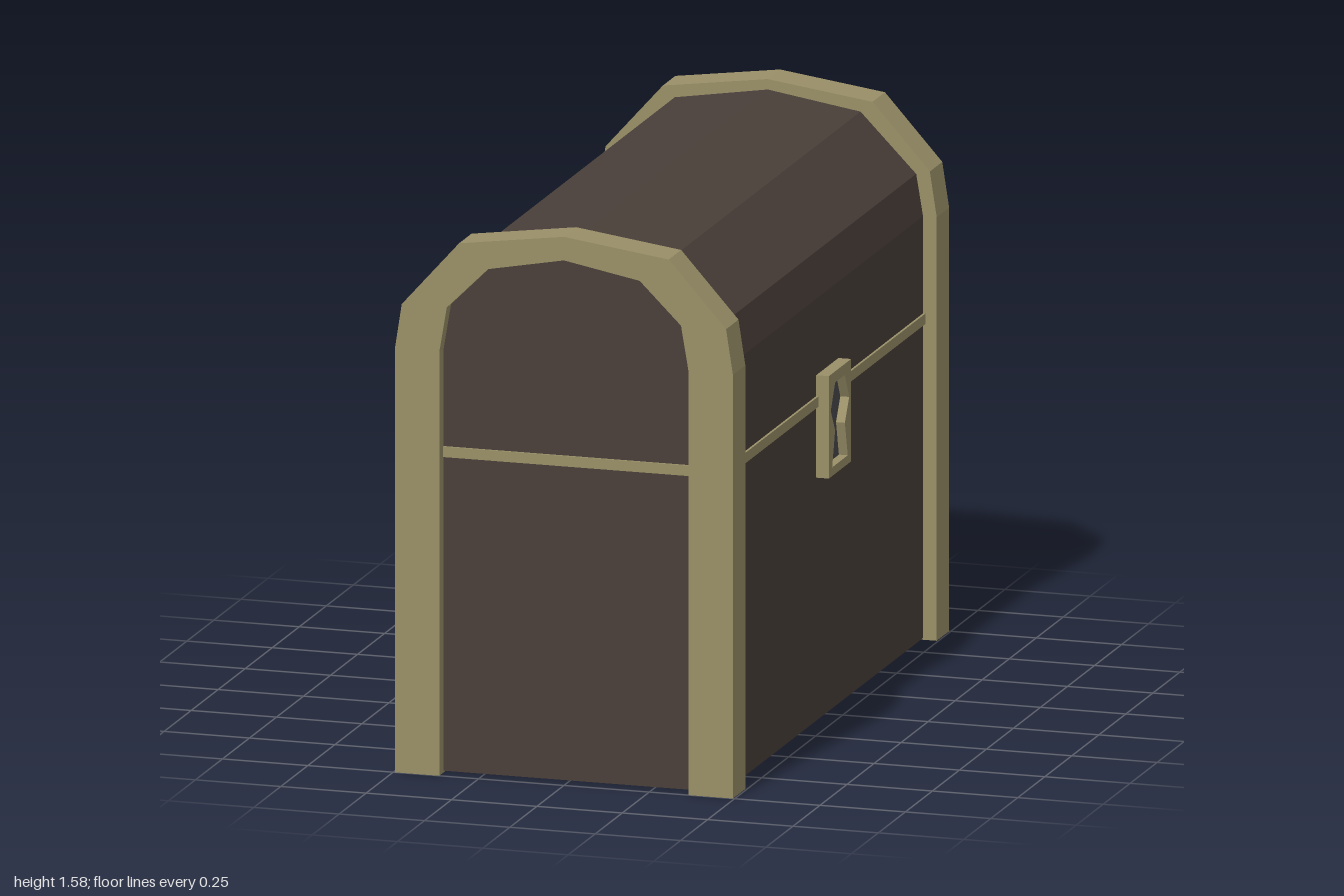
import * as THREE from 'three';

const mat = (color) => new THREE.MeshStandardMaterial({ color, flatShading: true });

// Symmetric outline from its right half, listed bottom to top
function mirrored(half) {
  const left = half.filter(([x]) => x > 0).map(([x, y]) => [-x, y]).reverse();
  return [...half, ...left].map(([x, y]) => new THREE.Vector2(x, y));
}

function extrude(shape, depth) {
  return new THREE.ExtrudeGeometry(shape, { depth, bevelEnabled: false });
}

export function createModel() {
  const chest = new THREE.Group();
  chest.name = 'chest';
  const wood = mat(0x4a3f39), brass = mat(0x9a9068), dark = mat(0x4a4a4d);

  function add(name, geometry, material, x = 0, y = 0, z = 0) {
    const mesh = new THREE.Mesh(geometry, material);
    mesh.name = name;
    mesh.position.set(x, y, z);
    chest.add(mesh);
    return mesh;
  }

  // Wooden base and faceted barrel lid
  const halfLength = 0.96, seam = 0.925;
  add('base', new THREE.BoxGeometry(0.91, seam - 0.005, halfLength * 2), wood, 0, (seam + 0.005) / 2, 0);
  const lid = new THREE.Shape(mirrored([
    [0.455, seam], [0.455, 1.22], [0.435, 1.34], [0.272, 1.507], [0, 1.55],
  ]));
  add('lid', extrude(lid, halfLength * 2), wood, 0, 0, -halfLength);

  // Metal strip along the lid seam
  add('seamBand', new THREE.BoxGeometry(0.924, 0.03, halfLength * 2 + 0.014), brass, 0, seam, 0);

  // Arched metal frames at both ends
  const outer = [[0.495, 0], [0.495, 1.22], [0.475, 1.35], [0.307, 1.538], [0, 1.58]];
  const inner = [[0.365, 0], [0.365, 1.22], [0.343, 1.35], [0.222, 1.47], [0, 1.512]];
  const arch = new THREE.Shape([...mirrored(outer), ...mirrored(inner).reverse()]);
  const archGeometry = extrude(arch, 0.115);
  add('frontFrame', archGeometry, brass, 0, 0, 0.885);
  add('backFrame', archGeometry, brass, 0, 0, -1);

  // Lock plate with a keyhole cut through to a dark inset
  const plate = new THREE.Shape(mirrored([[0.103, 0.705], [0.103, 1.0]]));
  plate.holes.push(new THREE.Path(mirrored([
    [0.072, 0.73], [0.045, 0.83], [0.085, 0.895], [0.045, 0.968],
  ]).reverse()));
  const lock = add('lockPlate', extrude(plate, 0.045), brass, 0.447, 0, 0);
  lock.rotation.y = Math.PI / 2;
  add('keyholeInset', new THREE.BoxGeometry(0.02, 0.27, 0.19), dark, 0.456, 0.852, 0);

  return chest;
}
